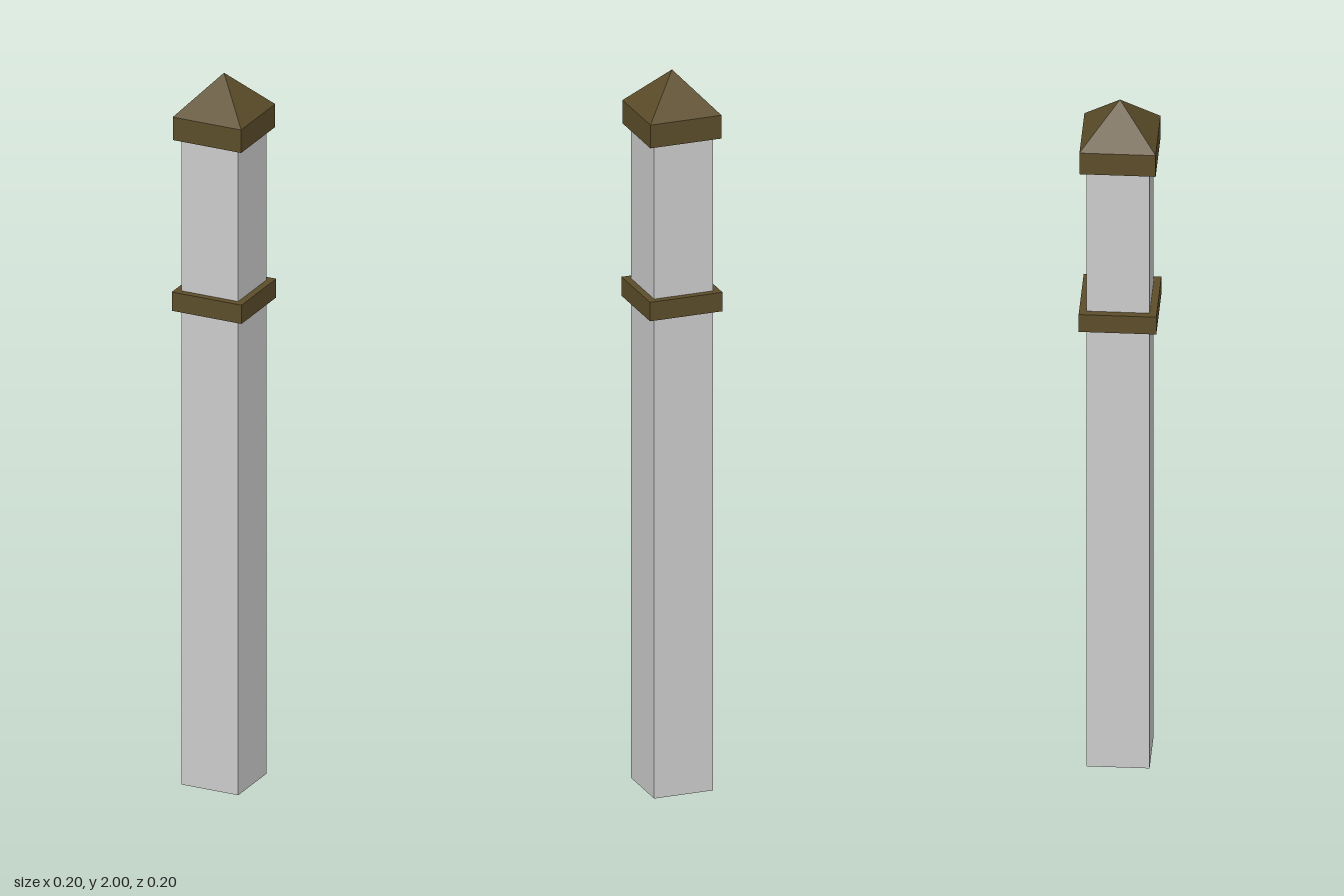
import * as THREE from 'three';

export function createModel() {
  const group = new THREE.Group();
  const grey = new THREE.MeshStandardMaterial({ color: 0xcccccc, flatShading: true });
  const bronze = new THREE.MeshStandardMaterial({ color: 0x5c4d2a, flatShading: true });

  // Square block standing between two heights
  function block(name, width, bottom, top, material) {
    const mesh = new THREE.Mesh(new THREE.BoxGeometry(width, top - bottom, width), material);
    mesh.name = name;
    mesh.position.y = (bottom + top) / 2;
    group.add(mesh);
  }

  block('shaft', 0.166, 0, 1.83, grey);
  block('band', 0.204, 1.345, 1.398, bronze);
  block('capBase', 0.2, 1.828, 1.893, bronze);

  // Four-sided pyramid on the cap, turned so its sides align with the post
  const roof = new THREE.ConeGeometry(0.1 * Math.SQRT2, 0.107, 4, 1, true);
  roof.rotateY(Math.PI / 4);
  const capPyramid = new THREE.Mesh(roof, bronze);
  capPyramid.name = 'capPyramid';
  capPyramid.position.y = 1.893 + 0.107 / 2;
  group.add(capPyramid);

  return group;
}
